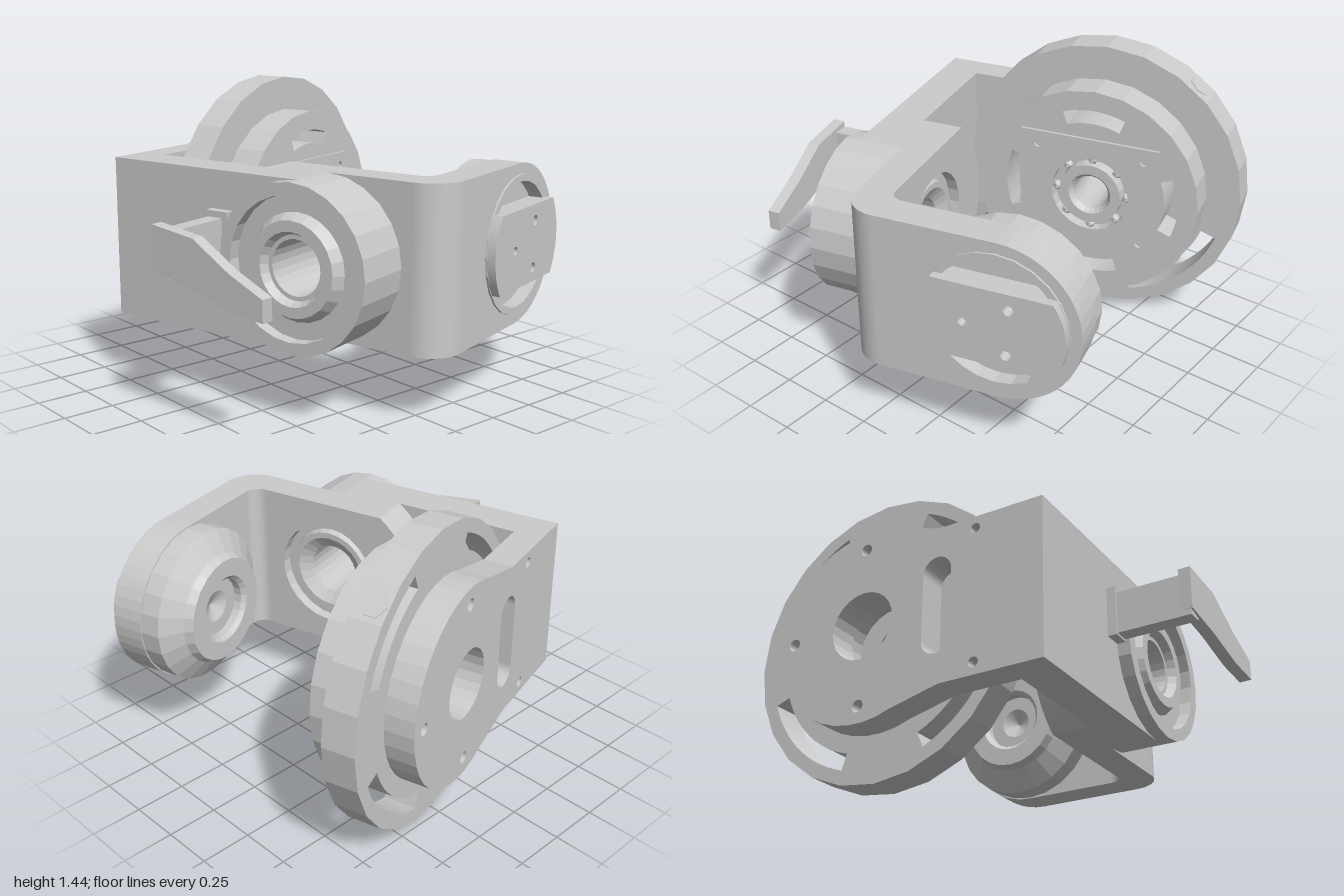
import * as THREE from 'three';

const mat = new THREE.MeshStandardMaterial({ color: 0xcccccc, flatShading: true, side: THREE.DoubleSide });
const PI = Math.PI;
const AXIS = 0.39;   // x of the main pivot axis
const SIDE = 0.33;   // z of the side pivot axis
const H = 0.39;      // half height of the bracket
const SEG = 12;

const circle = (r, x = 0, y = 0) => new THREE.Path().absarc(x, y, r, 0, 2 * PI, true);
const disc = r => new THREE.Shape().absarc(0, 0, r, 0, 2 * PI, false);

function polygon(points) {
  return new THREE.Shape(points.map(p => new THREE.Vector2(...p)));
}

// Curved slot between two radii and two angles
function arcSlot(r0, r1, a0, a1) {
  const p = new THREE.Path();
  p.absarc(0, 0, r1, a0, a1, false);
  p.absarc(0, 0, r0, a1, a0, true);
  p.closePath();
  return p;
}

// Straight slot with round ends, standing upright
function uprightSlot(x, half, r) {
  const p = new THREE.Path();
  p.absarc(x, half - r, r, 0, PI, false);
  p.absarc(x, -half + r, r, PI, 2 * PI, false);
  p.closePath();
  return p;
}

function slab(name, shape, holes, d0, d1, parent, x = 0) {
  shape.holes.push(...holes);
  const geo = new THREE.ExtrudeGeometry(shape, { depth: d1 - d0, bevelEnabled: false, curveSegments: SEG });
  const mesh = new THREE.Mesh(geo, mat);
  mesh.name = name;
  mesh.position.set(x, 0, d0);
  parent.add(mesh);
  return mesh;
}

// Turned part; profile is [radius, distance along local z]
function turned(name, profile, parent, x) {
  const geo = new THREE.LatheGeometry(profile.map(p => new THREE.Vector2(...p)), 24);
  geo.rotateX(PI / 2);
  const mesh = new THREE.Mesh(geo, mat);
  mesh.name = name;
  mesh.position.x = x;
  parent.add(mesh);
}

export function createModel() {
  const model = new THREE.Group();
  model.name = 'pivotBracket';
  const body = new THREE.Group();
  body.name = 'bracketBody';
  body.rotation.y = PI / 12;
  body.position.y = 0.72;
  model.add(body);

  // Back plate: flat arm that swells into a round end
  const back = new THREE.Shape();
  back.moveTo(-0.565, -H);
  back.lineTo(-0.04, -H);
  back.absarc(AXIS, 0, 0.485, -1.95, 1.95, false);
  back.lineTo(-0.04, H);
  back.lineTo(-0.565, H);
  slab('backPlate', back, [
    circle(0.17, AXIS), uprightSlot(-0.02, 0.24, 0.075),
    circle(0.025, -0.22, 0.33), circle(0.025, -0.22, -0.33),
    circle(0.03, AXIS, 0.4), circle(0.03, AXIS + 0.4, 0), circle(0.03, AXIS, -0.4)
  ], -0.75, -0.605, body);

  // Large rim: lower slots run through, the upper ones open only to the back
  const lowerSlots = () => [[3.6, 4.3], [5.0, 5.95]].map(([a, b]) => arcSlot(0.57, 0.65, a, b));
  const upperSlots = [[0.4, 1.2], [1.95, 2.7]].map(([a, b]) => arcSlot(0.575, 0.65, a, b));
  slab('rimBack', disc(0.72), [circle(0.2), ...lowerSlots(), ...upperSlots], -0.605, -0.475, body, AXIS);
  slab('rimFront', disc(0.72), [circle(0.2), ...lowerSlots()], -0.475, -0.445, body, AXIS);

  // Hex socket in the rim edge
  const socket = new THREE.Mesh(new THREE.CylinderGeometry(0.06, 0.06, 0.05, 6), mat);
  socket.name = 'rimSocket';
  socket.position.set(AXIS + 0.435, 0.54, -0.535);
  socket.rotation.z = -0.68;
  body.add(socket);

  // Front disc with four curved slots
  const faceSlots = [0, 1, 2, 3].map(i => arcSlot(0.38, 0.45, i * PI / 2 - 0.36, i * PI / 2 + 0.36));
  slab('frontDisc', disc(0.55), [circle(0.2), ...faceSlots], -0.445, -0.28, body, AXIS);

  // Square face plate and central bearing
  const face = polygon([[-0.37, -0.31], [0.34, -0.31], [0.34, 0.3], [-0.37, 0.3]]);
  const bolts = [[-0.28, 0.23], [0.27, 0.23], [0.27, -0.23], [-0.28, -0.23]].map(([x, y]) => circle(0.02, x, y));
  slab('facePlate', face, [circle(0.2), ...bolts], -0.29, -0.265, body, AXIS);
  turned('mainBearing', [[0.09, -0.5], [0.2, -0.5], [0.2, -0.32], [0.165, -0.32], [0.16, -0.265],
    [0.11, -0.265], [0.09, -0.29], [0.09, -0.5]], body, AXIS);
  for (let i = 0; i < 8; i++) {
    const a = i * PI / 4;
    const ball = new THREE.Mesh(new THREE.IcosahedronGeometry(0.028, 0), mat);
    ball.name = 'bearingBall';
    ball.position.set(AXIS + 0.182 * Math.cos(a), 0.182 * Math.sin(a), -0.3);
    body.add(ball);
  }

  // Parts seen along x: shapes are drawn in (z, y), depth runs toward -x
  const side = new THREE.Group();
  side.name = 'sideWall';
  side.rotation.y = -PI / 2;
  body.add(side);
  slab('wallPlate', polygon([[-0.75, -H], [0.03, -H], [0.03, H], [-0.75, H]]), [], 0.375, 0.565, side);

  // Thickened wall with a bowed rear edge
  const bow = Math.asin(H / 0.48);
  const thick = new THREE.Shape();
  thick.moveTo(0.62, -H);
  thick.lineTo(0.62, H);
  thick.absarc(0.3, 0, 0.48, PI - bow, PI + bow, false);
  slab('thickWall', thick, [circle(0.27, SIDE)], 0.175, 0.335, side);
  const fill = new THREE.Shape();
  fill.moveTo(SIDE, H);
  fill.lineTo(0.05, H);
  fill.absarc(0.3, 0, 0.48, PI - bow, PI + bow, false);
  fill.lineTo(SIDE, -H);
  fill.absarc(SIDE, 0, 0.35, 1.5 * PI, 0.5 * PI, true);
  slab('wallFill', fill, [], 0.335, 0.565, side);

  // Side bearing housing, open through the middle
  turned('sideHousing', [[0.13, 0.24], [0.19, 0.2], [0.22, 0.2], [0.23, 0.23], [0.27, 0.23], [0.27, 0.335],
    [0.39, 0.335], [0.39, 0.63], [0.33, 0.63], [0.33, 0.57], [0.25, 0.57], [0.22, 0.62],
    [0.17, 0.62], [0.15, 0.58], [0.13, 0.58], [0.13, 0.24]], side, SIDE);

  // Hook: arm out of the wall, then a thin drooping finger
  slab('hookArm', polygon([[-0.14, -0.03], [-0.06, -0.03], [-0.06, 0.18], [-0.14, 0.18]]), [], 0.55, 0.975, side);
  slab('hookFoot', polygon([[-0.15, -0.04], [-0.03, -0.04], [-0.03, 0.21], [-0.15, 0.21]]), [], 0.56, 0.61, side);
  const finger = slab('hookFinger', polygon([[-0.14, 0.0], [0.08, -0.04], [0.3, -0.1], [0.48, -0.12], [0.48, -0.02],
    [0.3, 0.06], [0.1, 0.18], [-0.14, 0.21]]), [], 0.93, 0.99, side);
  finger.rotation.y = -0.05;

  // Rounded front corner, drawn in plan (x, -z)
  const corner = new THREE.Shape();
  corner.moveTo(-0.335, -0.6);
  corner.lineTo(-0.335, -0.77);
  corner.absarc(-0.175, -0.77, 0.16, PI, 1.5 * PI, false);
  corner.lineTo(0.0, -0.93);
  corner.lineTo(0.0, -0.77);
  corner.lineTo(-0.105, -0.77);
  corner.absarc(-0.105, -0.7, 0.07, 1.5 * PI, PI, true);
  corner.lineTo(-0.175, -0.6);
  const bend = slab('frontCorner', corner, [], 0, 2 * H, body);
  bend.rotation.x = -PI / 2;
  bend.position.set(0, -H, 0);

  // Front plate with a round end and a recess
  const front = new THREE.Shape();
  front.moveTo(0, H);
  front.lineTo(0, -H);
  front.lineTo(AXIS, -H);
  front.absarc(AXIS, 0, H, -PI / 2, PI / 2, false);
  slab('frontPlate', front, [circle(0.34, AXIS)], 0.77, 0.93, body);

  // Tapered inner boss, recess floor and lip
  turned('innerBoss', [[0, 0.66], [0.08, 0.62], [0.15, 0.62], [0.15, 0.58], [0.17, 0.56], [0.26, 0.56],
    [0.28, 0.6], [0.385, 0.67], [0.385, 0.771], [0.34, 0.771], [0.34, 0.87], [0, 0.87]], body, AXIS);
  slab('recessLip', disc(0.34), [circle(0.305)], 0.87, 0.94, body, AXIS);

  // Cover bar across the recess
  const bar = new THREE.Shape();
  bar.absarc(0, 0, 0.335, -0.6, 0.6, false);
  bar.absarc(0, 0, 0.335, PI - 0.6, PI + 0.6, false);
  slab('coverBar', bar, [circle(0.02, -0.13, 0), circle(0.025, 0.08, 0.11), circle(0.025, 0.07, -0.12)],
    0.87, 0.98, body, AXIS);

  return model;
}
